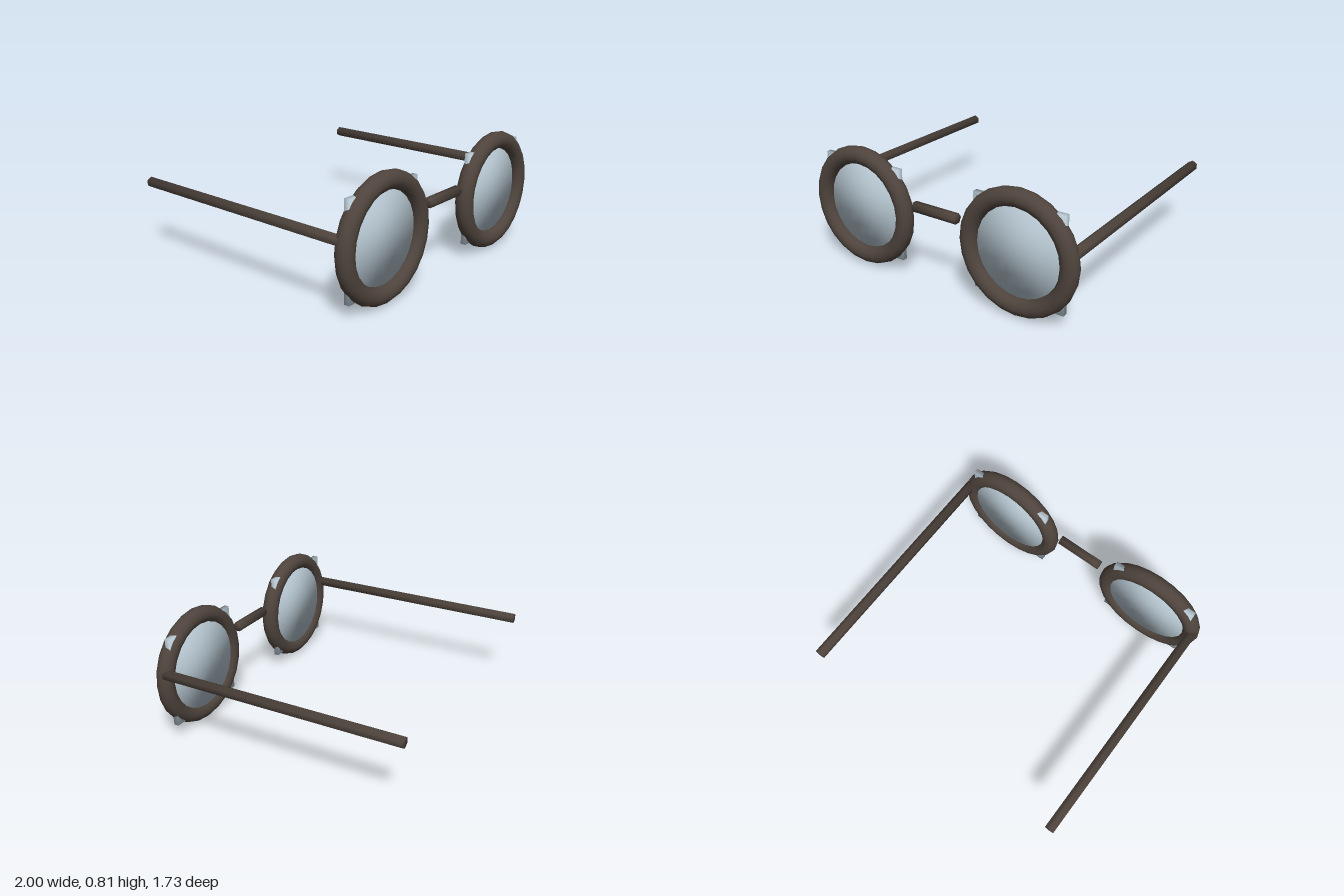
import * as THREE from 'three';

const EYE_X = 0.597, EYE_Y = 0.403, FRAME_Z = 0.807;

// Replaces the normals by a rule on the vertex position, for rounded shading.
function softNormals(geometry, rule) {
  const p = geometry.attributes.position, n = geometry.attributes.normal;
  const v = new THREE.Vector3();
  for (let i = 0; i < p.count; i++) {
    rule(v.fromBufferAttribute(p, i)).normalize();
    n.setXYZ(i, v.x, v.y, v.z);
  }
  return geometry;
}

// Six-sided rod along y whose shading rolls over its ends.
function rodGeometry(radius, length) {
  const g = new THREE.CylinderGeometry(radius, radius, length, 6);
  return softNormals(g, v => v.set(v.x / radius, Math.sign(v.y) * 0.7, v.z / radius));
}

function addMesh(group, name, geometry, material, x, y, z) {
  const mesh = new THREE.Mesh(geometry, material);
  mesh.name = name;
  mesh.position.set(x, y, z);
  group.add(mesh);
  return mesh;
}

export function createModel() {
  const model = new THREE.Group();
  model.name = 'roundGlasses';

  const frame = new THREE.MeshStandardMaterial({ color: 0x4f443d });
  frame.name = 'darkBrownFrame';
  const glass = new THREE.MeshStandardMaterial({ color: 0xb4c4ce });
  glass.name = 'paleBlueGlass';

  const rim = new THREE.TorusGeometry(0.345, 0.058, 12, 24);
  // Square pane whose corners poke out behind the rim.
  const pane = softNormals(new THREE.BoxGeometry(0.62, 0.62, 0.034, 8, 8, 1),
    v => v.set(v.x / 0.31, v.y / 0.31, Math.sign(v.z)));
  const temple = rodGeometry(0.036, 1.655);

  for (const [side, s] of [['left', 1], ['right', -1]]) {
    addMesh(model, side + 'Rim', rim, frame, s * EYE_X, EYE_Y, FRAME_Z);
    addMesh(model, side + 'Lens', pane, glass, s * EYE_X, EYE_Y, 0.791);
    const arm = addMesh(model, side + 'Temple', temple, frame, s * 0.955, 0.488, -0.0375);
    arm.rotation.set(Math.PI / 2, Math.PI / 2, 0, 'XYZ');
    arm.rotation.set(Math.PI / 2, 0, 0);
  }

  // Bridge between the rims
  const bridge = addMesh(model, 'bridge', rodGeometry(0.035, 0.33), frame, 0, 0.503, FRAME_Z);
  bridge.rotation.z = Math.PI / 2;

  return model;
}
